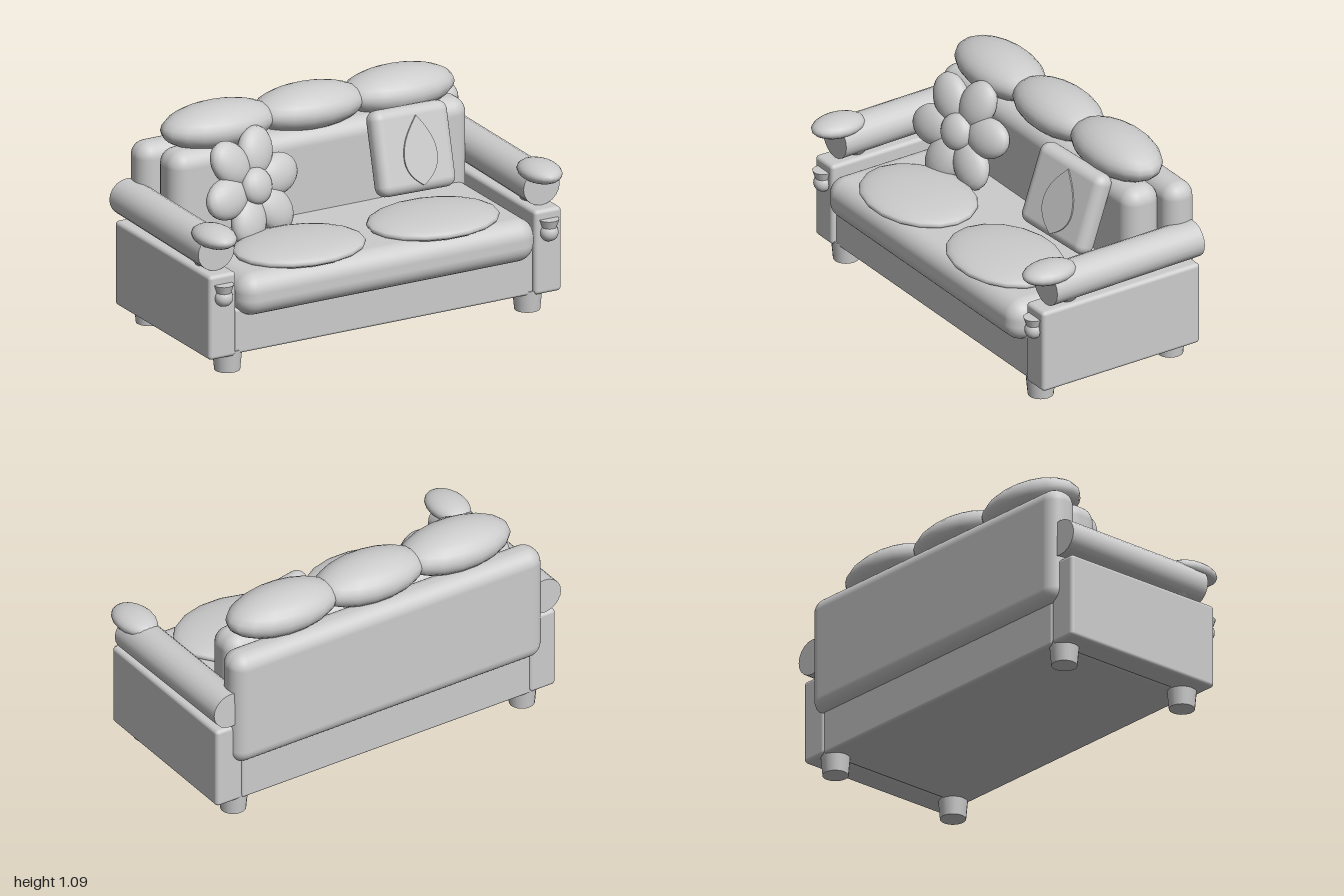
import * as THREE from 'three';
import { RoundedBoxGeometry } from 'three/addons/geometries/RoundedBoxGeometry.js';

export function createModel() {
  const sofa = new THREE.Group();
  sofa.name = 'sofa';
  const fabric = new THREE.MeshStandardMaterial({ color: 0xcccccc });
  fabric.name = 'light grey';

  function add(parent, name, geometry, x, y, z) {
    const mesh = new THREE.Mesh(geometry, fabric);
    mesh.name = name;
    mesh.position.set(x, y, z);
    parent.add(mesh);
    return mesh;
  }
  // Rounded block given by its limits on each axis
  function block(name, [x0, x1], [y0, y1], [z0, z1], radius) {
    const g = new RoundedBoxGeometry(x1 - x0, y1 - y0, z1 - z0, 4, radius);
    return add(sofa, name, g, (x0 + x1) / 2, (y0 + y1) / 2, (z0 + z1) / 2);
  }
  // Soft ellipsoid with radii rx, ry, rz
  function puff(parent, name, [x, y, z], [rx, ry, rz]) {
    return add(parent, name, new THREE.SphereGeometry(1, 18, 14).scale(rx, ry, rz), x, y, z);
  }

  // Body, seat and back
  block('base', [-0.83, 0.83], [0.09, 0.32], [-0.47, 0.42], 0.015);
  block('seatCushion', [-0.82, 0.82], [0.28, 0.495], [-0.3, 0.5], 0.09);
  block('backPanel', [-0.89, 0.89], [0.3, 0.91], [-0.515, -0.35], 0.075);
  block('backCushion', [-0.82, 0.82], [0.36, 0.91], [-0.36, -0.16], 0.08);

  // Three bolsters along the top of the back
  for (const x of [-0.495, 0, 0.495]) {
    puff(sofa, 'headBolster', [x, 0.977, -0.31], [0.305, 0.11, 0.17]);
  }

  for (const side of [-1, 1]) {
    puff(sofa, 'seatPad', [side * 0.37, 0.508, 0.25], [0.34, 0.053, 0.26]);

    // Arm: side panel, roll, front pad and ornaments
    const ax = side * 0.9;
    block('armPanel', [ax - 0.075, ax + 0.075], [0.09, 0.52], [-0.47, 0.44], 0.02);
    const roll = new THREE.CylinderGeometry(0.097, 0.1, 0.855, 20);
    roll.rotateX(-Math.PI / 2).scale(1, 0.95, 1);
    add(sofa, 'armRoll', roll, ax, 0.62, -0.0525).rotation.x = 0.012;
    puff(sofa, 'armPad', [ax, 0.69, 0.355], [0.097, 0.052, 0.143]);
    add(sofa, 'armBracket', new THREE.CylinderGeometry(0.08, 0.01, 0.09, 12), ax, 0.52, 0.26);
    const cap = new THREE.CylinderGeometry(0.05, 0.035, 0.045, 14);
    add(sofa, 'ornamentCap', cap, ax, 0.45, 0.445);
    puff(sofa, 'ornamentDrop', [ax, 0.405, 0.445], [0.046, 0.045, 0.045]);

    // Tapered legs
    for (const z of [0.357, -0.392]) {
      add(sofa, 'leg', new THREE.CylinderGeometry(0.073, 0.063, 0.11, 20), side * 0.83, 0.055, z);
    }
  }

  // Flower cushion leaning on the back
  const flower = new THREE.Group();
  flower.name = 'flowerCushion';
  flower.position.set(-0.455, 0.73, -0.055);
  flower.rotation.set(-0.32, 0.22, 0);
  for (let i = 0; i < 6; i++) {
    const a = 0.2 + (i * Math.PI) / 3;
    const petal = puff(flower, 'petal', [0.17 * Math.cos(a), 0.17 * Math.sin(a), 0], [0.127, 0.1, 0.06]);
    petal.rotation.z = a;
  }
  puff(flower, 'flowerCentre', [0, 0, 0.035], [0.09, 0.09, 0.055]);
  sofa.add(flower);

  // Square cushion with a leaf-shaped patch
  const pillow = new THREE.Group();
  pillow.name = 'squareCushion';
  pillow.position.set(0.43, 0.755, -0.065);
  pillow.rotation.set(-0.3, 0.15, -0.03);
  add(pillow, 'pillowBody', new RoundedBoxGeometry(0.455, 0.42, 0.11, 4, 0.05), 0, 0, 0);
  const leaf = new THREE.Shape();
  leaf.moveTo(0, 0.17);
  leaf.bezierCurveTo(0.05, 0.11, 0.1, 0.05, 0.1, -0.03);
  leaf.bezierCurveTo(0.1, -0.1, 0.05, -0.14, 0, -0.17);
  leaf.bezierCurveTo(-0.05, -0.14, -0.1, -0.1, -0.1, -0.03);
  leaf.bezierCurveTo(-0.1, 0.05, -0.05, 0.11, 0, 0.17);
  const patch = new THREE.ExtrudeGeometry(leaf, { depth: 0.009, bevelEnabled: false });
  add(pillow, 'leafPatch', patch, 0.01, -0.01, 0.053);
  sofa.add(pillow);

  return sofa;
}
